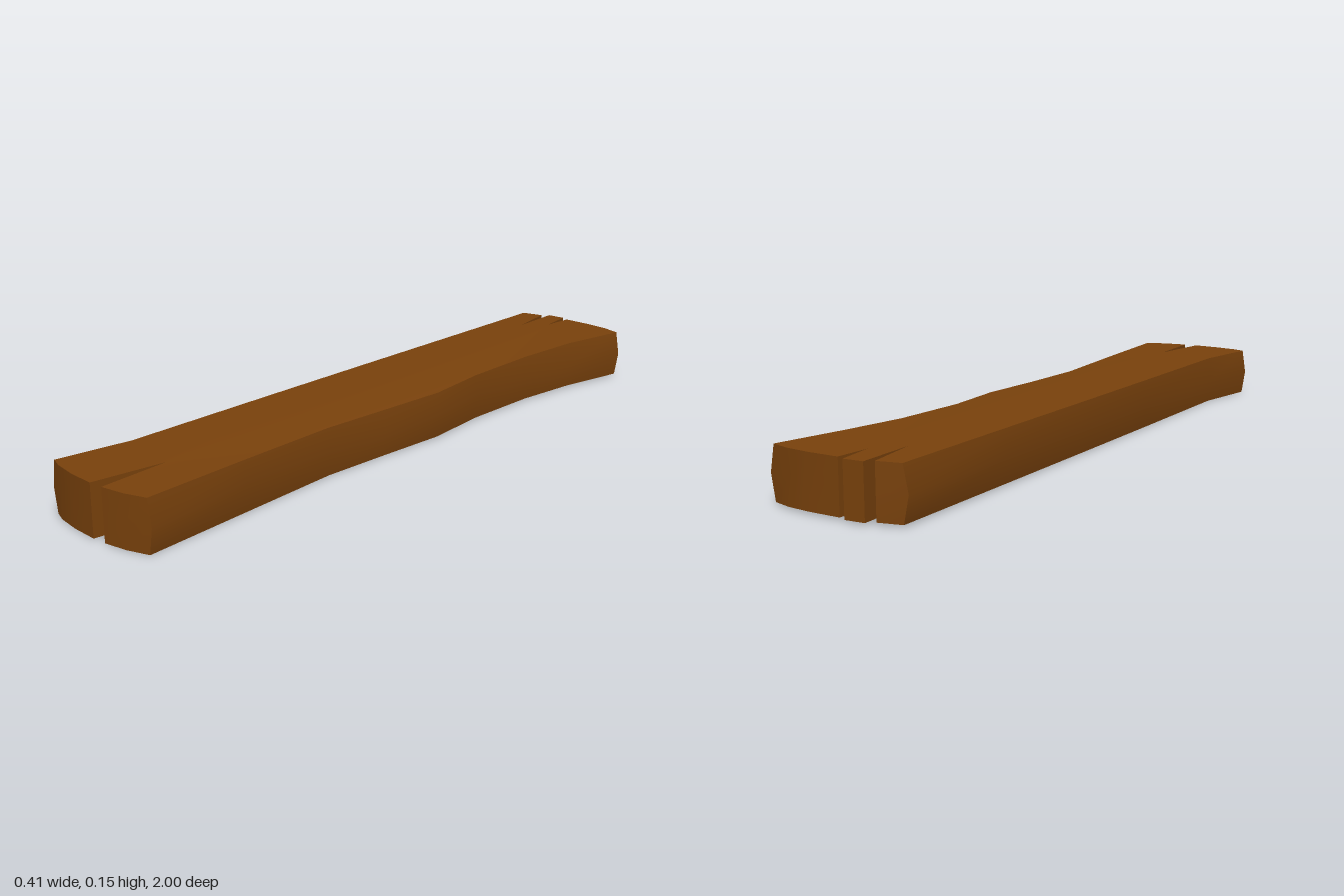
import * as THREE from 'three';
import { toCreasedNormals } from 'three/addons/utils/BufferGeometryUtils.js';

// Plank outline at mid height, anticlockwise from above: [x, z, inset of top and bottom edge]
const OUTLINE = [
  // front end with one split
  [-0.18, 0.965, 0.011], [-0.13, 0.98, 0], [-0.06, 0.992, 0], [0.02, 0.997, 0],
  [0.045, 0.79, 0], [0.062, 0.995, 0], [0.13, 0.985, 0], [0.205, 0.965, 0.012],
  // wavy right flank
  [0.178, 0.65, 0.011], [0.15, 0.33, 0.009], [0.155, 0.12, 0.009], [0.163, -0.1, 0.009],
  [0.139, -0.3, 0.009], [0.137, -0.55, 0.009], [0.156, -0.75, 0.01], [0.197, -0.963, 0.012],
  // back end with two splits
  [0.13, -0.98, 0], [0.06, -0.988, 0], [-0.03, -0.99, 0], [-0.036, -0.89, 0],
  [-0.052, -1, 0], [-0.108, -0.997, 0], [-0.098, -0.82, 0], [-0.127, -0.98, 0],
  [-0.207, -0.965, 0.015],
  // straight left flank
  [-0.193, -0.55, 0.012], [-0.18, -0.15, 0.01], [-0.167, 0.25, 0.009], [-0.15, 0.75, 0.009],
];

function plankGeometry() {
  const n = OUTLINE.length;
  const positions = [];
  const index = [];

  // bottom, middle and top rings; the top right edge sags slightly midway
  for (let level = 0; level < 3; level++) {
    for (const [x, z, inset] of OUTLINE) {
      const bottom = 0.003 - 0.003 * z;
      const sag = x > 0.1 ? 0.01 * Math.max(0, 1 - z * z * 1.6) : 0;
      const top = 0.1445 - 0.0025 * z - sag;
      const px = level === 1 ? x : x - Math.sign(x) * inset;
      positions.push(px, THREE.MathUtils.lerp(bottom, top, level / 2), z);
    }
  }

  // side walls
  for (let level = 0; level < 2; level++) {
    for (let i = 0; i < n; i++) {
      const a = level * n + i;
      const b = level * n + (i + 1) % n;
      index.push(a, b, b + n, a, b + n, a + n);
    }
  }

  // top and bottom faces
  const contour = OUTLINE.map(([x, z, inset]) => new THREE.Vector2(x - Math.sign(x) * inset, -z));
  for (const [a, b, c] of THREE.ShapeUtils.triangulateShape(contour, [])) {
    index.push(a + 2 * n, b + 2 * n, c + 2 * n, c, b, a);
  }

  const geometry = new THREE.BufferGeometry();
  geometry.setAttribute('position', new THREE.Float32BufferAttribute(positions, 3));
  geometry.setIndex(index);
  return toCreasedNormals(geometry, THREE.MathUtils.degToRad(35));
}

export function createModel() {
  const group = new THREE.Group();
  group.name = 'woodenPlank';
  const wood = new THREE.MeshStandardMaterial({ color: 0x7a420c });
  const plank = new THREE.Mesh(plankGeometry(), wood);
  plank.name = 'plank';
  group.add(plank);
  return group;
}
